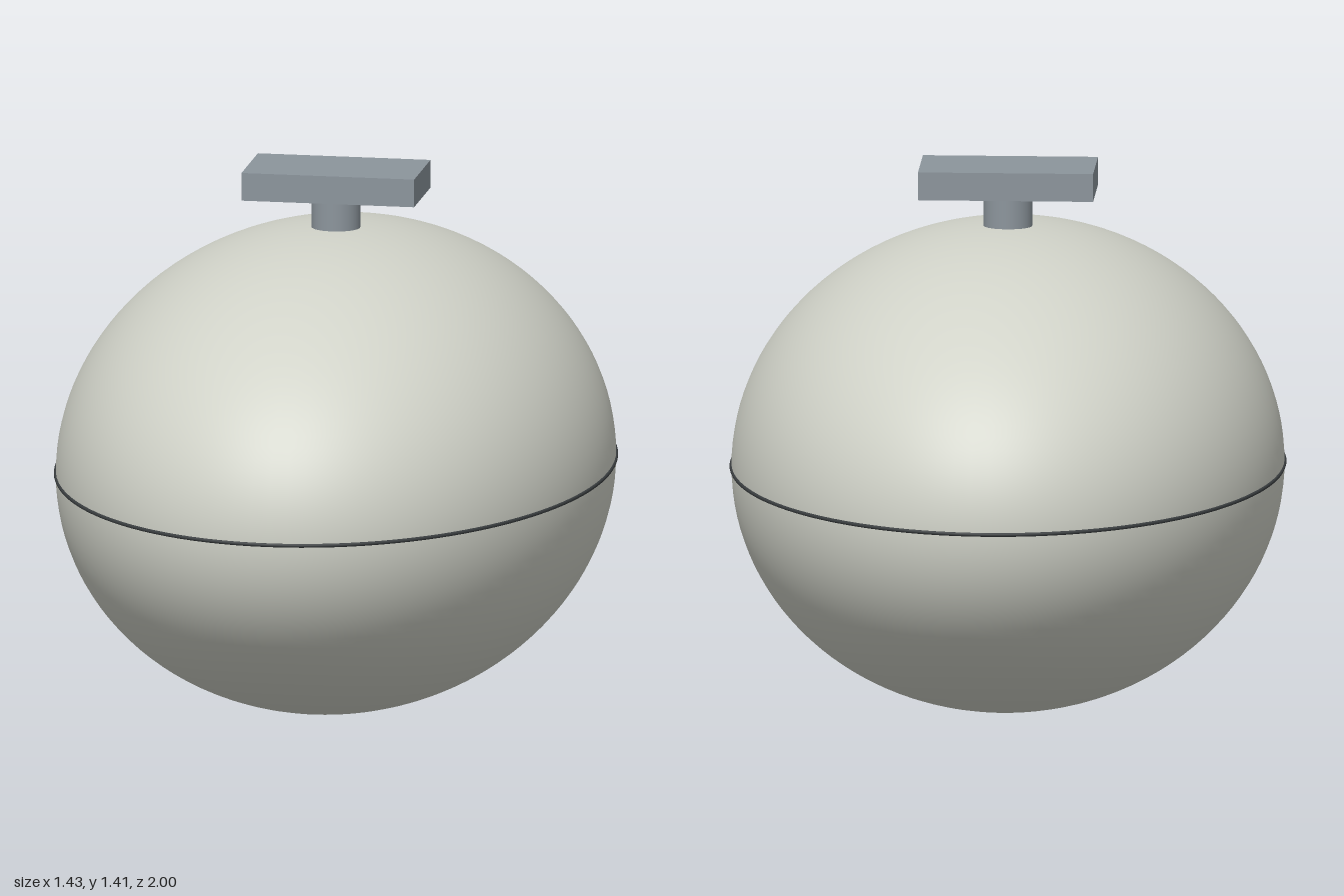
import * as THREE from 'three';

export function createModel() {
  const group = new THREE.Group();
  const mat = (name, color) => {
    const m = new THREE.MeshStandardMaterial({ color });
    m.name = name;
    return m;
  };
  const shell = mat('pale grey shell', 0xd0d2c8);
  const metal = mat('blue grey metal', 0x8c959c);
  const dark = mat('dark seam', 0x3a3e40);

  const add = (name, geometry, material, y) => {
    const mesh = new THREE.Mesh(geometry, material);
    mesh.name = name;
    mesh.position.y = y;
    group.add(mesh);
    return mesh;
  };

  // Smooth ellipsoid body, longest front to back
  const midY = 0.629;
  add('body', new THREE.SphereGeometry(1, 96, 64).scale(0.712, 0.627, 0.994), shell, midY);

  // Thin seam around the widest line, of even thickness
  class SeamCurve extends THREE.Curve {
    getPoint(t, target = new THREE.Vector3()) {
      const a = t * Math.PI * 2;
      return target.set(0.712 * Math.cos(a), 0, 0.995 * Math.sin(a));
    }
  }
  add('seam', new THREE.TubeGeometry(new SeamCurve(), 128, 0.005, 8, true), dark, midY);

  // Short stem, sunk slightly into the body, carrying a flat block
  add('stem', new THREE.CylinderGeometry(0.063, 0.063, 0.11, 40), metal, 1.29);
  add('topBlock', new THREE.BoxGeometry(0.452, 0.073, 0.24), metal, 1.376);

  return group;
}
